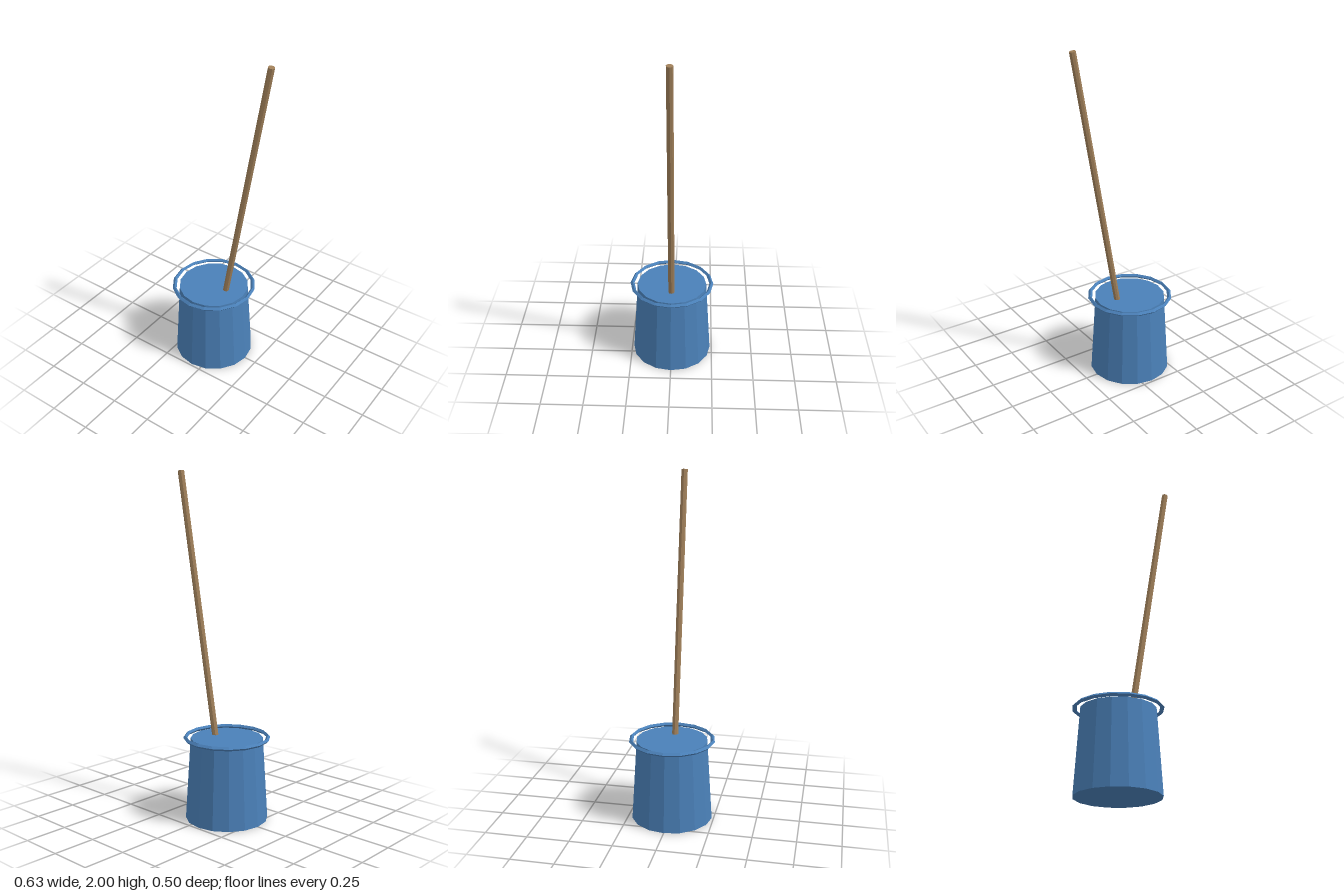
import * as THREE from 'three';

const paint = new THREE.MeshStandardMaterial({ color: 0x4a80b8, flatShading: true });
paint.name = 'blue paint';
const wood = new THREE.MeshStandardMaterial({ color: 0xa0805a, flatShading: true });
wood.name = 'brown wood';

export function createModel() {
  const model = new THREE.Group();
  model.name = 'bucketWithPole';

  const add = (name, geometry, material, x, y) => {
    const mesh = new THREE.Mesh(geometry, material);
    mesh.name = name;
    mesh.position.set(x, y, 0);
    model.add(mesh);
    return mesh;
  };

  // Closed bucket, wider at the foot
  const bucketX = -0.063;
  const height = 0.48;
  add('bucket', new THREE.CylinderGeometry(0.209, 0.239, height, 16), paint, bucketX, height / 2);

  // Loose rim ring with a diamond section
  const ring = new THREE.TorusGeometry(0.24, 0.012, 4, 16).rotateX(Math.PI / 2);
  add('rimRing', ring, paint, bucketX, 0.482);

  // Leaning pole: hangs down from its top end into the bucket
  const tilt = THREE.MathUtils.degToRad(10);
  const length = 1.7;
  const stick = new THREE.CylinderGeometry(0.0185, 0.0185, length, 8).translate(0, -length / 2, 0);
  add('pole', stick, wood, 0.2955, 1.997).rotation.z = -tilt;

  return model;
}
